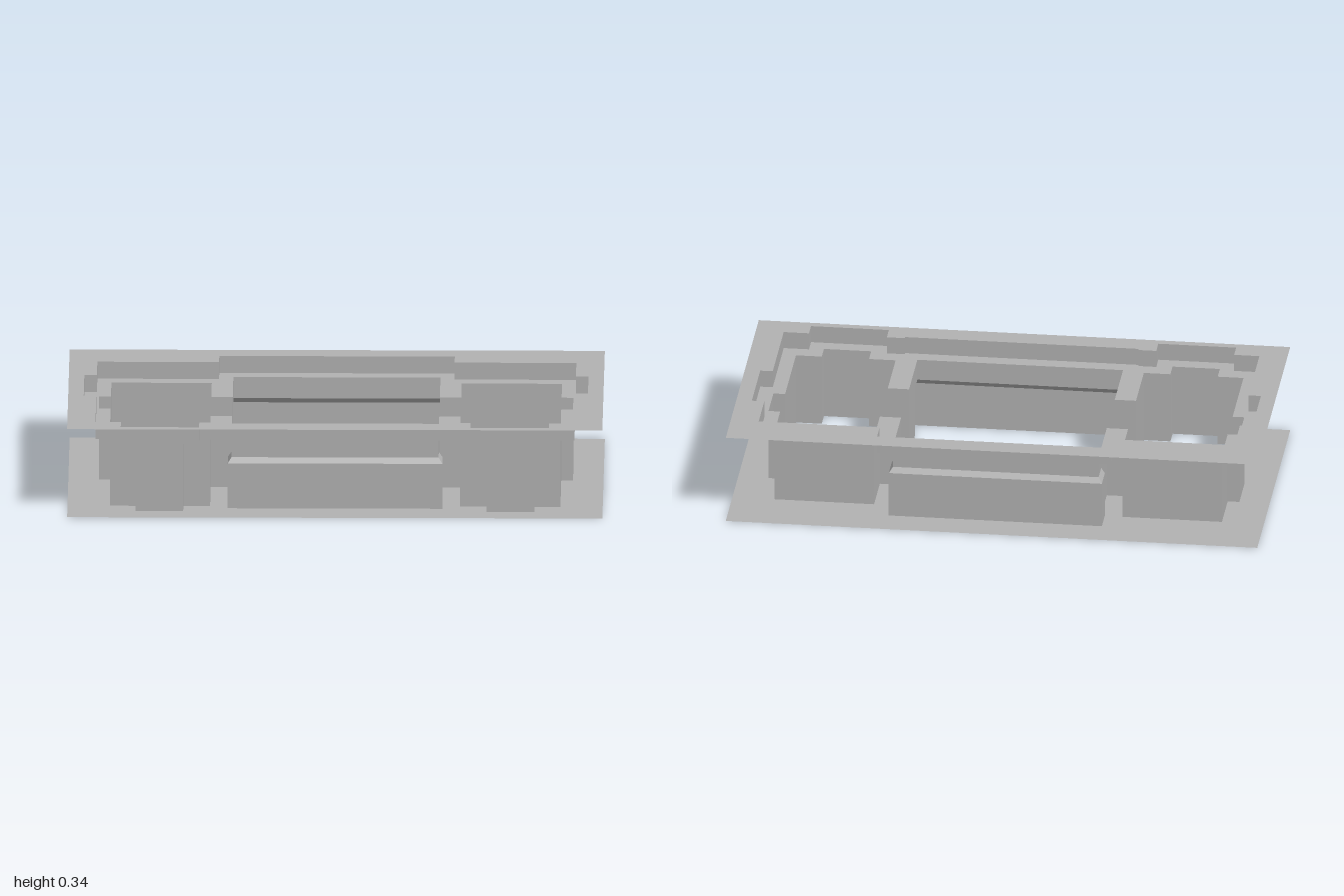
import * as THREE from 'three';

const BEVEL_LOW = 0.175, BEVEL_TOP = 0.195, LEDGE = 0.277, TOP = 0.343;

// Closed outline from its +x half, listed front to back
const mirrored = (half) => [...half, ...half.map(([x, z]) => [-x, z]).reverse()];

// Lower opening; d widens the central bay below its bevel
const opening = (d) => mirrored([
  [0.387 + d, 0.385 + d], [0.387 + d, 0.31], [0.387, 0.31], [0.387, 0.123],
  [0.467, 0.123], [0.467, 0.37], [0.567, 0.37], [0.567, 0.438],
  [0.745, 0.438], [0.745, 0.37], [0.842, 0.37], [0.842, 0.027],
  [0.886, 0.027], [0.886, -0.128], [0.842, -0.128], [0.842, -0.31],
  [0.467, -0.31], [0.467, -0.128], [0.387, -0.128], [0.387, -0.305],
  [0.387 + d, -0.305], [0.387 + d, -0.387 - d],
]);

// Wider opening of the upper step
const rim = mirrored([
  [0.44, 0.438], [0.44, 0.428], [0.507, 0.428], [0.507, 0.492],
  [0.8, 0.492], [0.8, 0.428], [0.895, 0.428], [0.895, 0.081],
  [0.942, 0.081], [0.942, -0.185], [0.895, -0.185], [0.895, -0.362],
  [0.44, -0.362], [0.44, -0.441],
]);

const border = [[1, 0.521], [1, -0.521], [-1, -0.521], [-1, 0.521]];

export function createModel() {
  const group = new THREE.Group();
  const grey = new THREE.MeshStandardMaterial({ color: 0xb2b2b2, side: THREE.DoubleSide });
  grey.name = 'plain grey';

  const add = (name, geometry) => {
    const mesh = new THREE.Mesh(geometry, grey);
    mesh.name = name;
    group.add(mesh);
  };

  // Flat sheet at height y with a hole cut through it
  const sheet = (name, outer, hole, y) => {
    const vectors = (pts) => pts.map(([x, z]) => new THREE.Vector2(x, -z));
    const shape = new THREE.Shape(vectors(outer));
    shape.holes.push(new THREE.Path(vectors(hole)));
    add(name, new THREE.ShapeGeometry(shape).rotateX(-Math.PI / 2).translate(0, y, 0));
  };

  // Upright strip joining two matching outlines, facing the opening
  const wall = (name, low, y0, high, y1) => {
    const p = [];
    low.forEach(([ax, az], i) => {
      const j = (i + 1) % low.length;
      const [bx, bz] = low[j], [cx, cz] = high[j], [dx, dz] = high[i];
      p.push(ax, y0, az, cx, y1, cz, bx, y0, bz);
      p.push(ax, y0, az, dx, y1, dz, cx, y1, cz);
    });
    // Reverse the corners so the strip faces inward
    for (let k = 0; k < p.length; k += 9) {
      for (let n = 0; n < 3; n++) [p[k + 3 + n], p[k + 6 + n]] = [p[k + 6 + n], p[k + 3 + n]];
    }
    const g = new THREE.BufferGeometry();
    g.setAttribute('position', new THREE.Float32BufferAttribute(p, 3));
    g.computeVertexNormals();
    add(name, g);
  };

  const wide = opening(0.014), narrow = opening(0);
  sheet('baseSheet', border, wide, 0);
  wall('lowerWall', wide, 0, wide, BEVEL_LOW);
  wall('bevel', wide, BEVEL_LOW, narrow, BEVEL_TOP);
  wall('middleWall', narrow, BEVEL_TOP, narrow, LEDGE);
  sheet('ledge', rim, narrow, LEDGE);
  wall('rimWall', rim, LEDGE, rim, TOP);
  sheet('topSheet', border, rim, TOP);
  return group;
}
